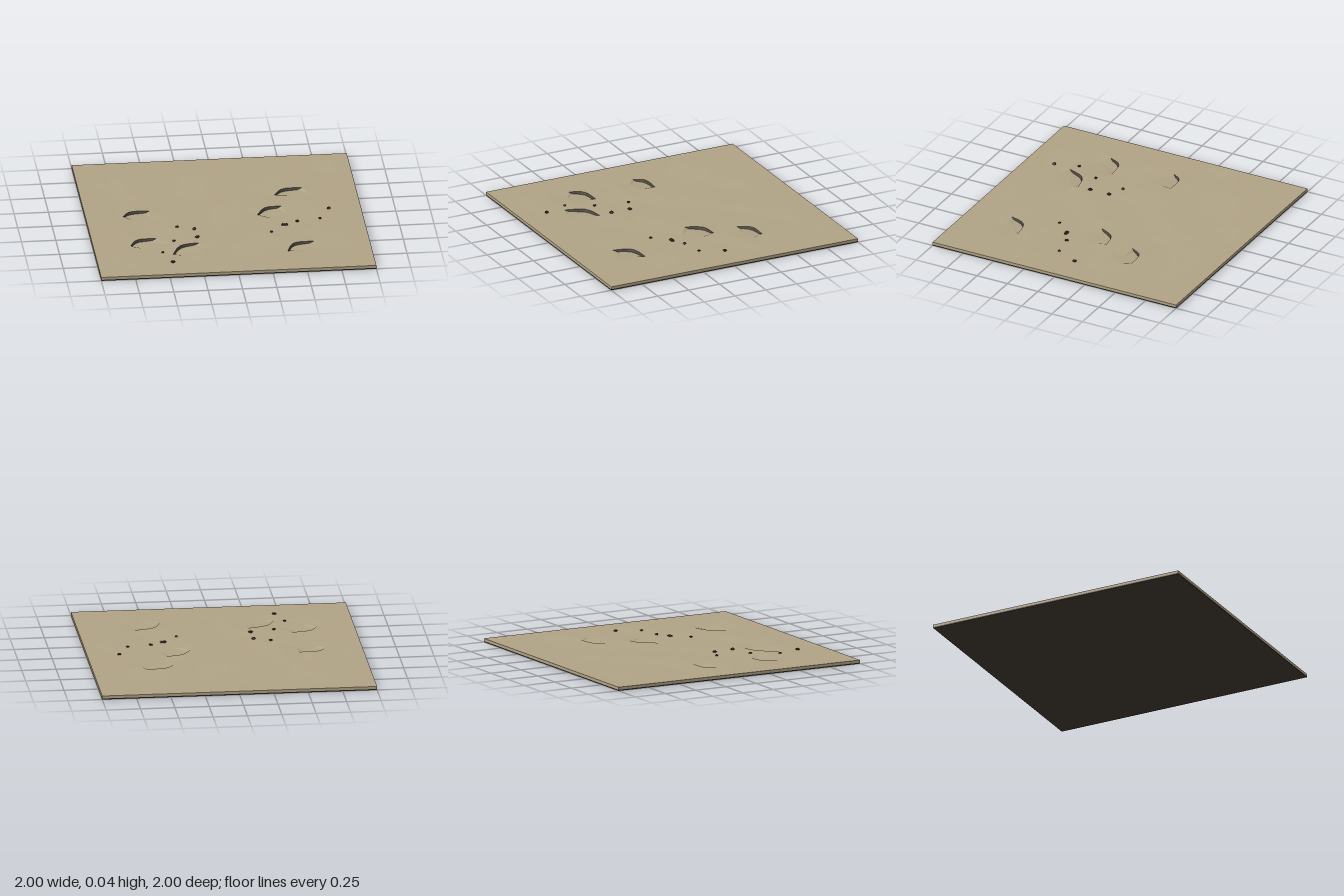
import * as THREE from 'three';

const sand = new THREE.MeshStandardMaterial({ color: 0xb0a386, flatShading: true });
sand.name = 'sand';
const scarp = new THREE.MeshStandardMaterial({ color: 0x4c463c, flatShading: true });
scarp.name = 'shadowed scarp';
const bedrock = new THREE.MeshStandardMaterial({ color: 0x40372e, flatShading: true });
bedrock.name = 'dark bedrock';
const stone = new THREE.MeshStandardMaterial({ color: 0x3d3026, flatShading: true });
stone.name = 'dark stone';

const LEVEL = 0.027, BASE = 0.008, DEPTH = 0.016, RISE = 0.004;

// Curved scarps: start, crown and end as x, z
const ARCS = [
  [-0.73, -0.05, -0.67, -0.125, -0.53, -0.13],
  [-0.73, 0.47, -0.67, 0.37, -0.53, 0.35],
  [-0.44, 0.65, -0.37, 0.51, -0.23, 0.47],
  [0.24, 0.02, 0.31, -0.095, 0.43, -0.12],
  [0.40, -0.32, 0.47, -0.41, 0.61, -0.42],
  [0.39, 0.68, 0.45, 0.55, 0.60, 0.52],
].map(([ax, az, mx, mz, bx, bz]) => {
  const a = new THREE.Vector2(ax, az), b = new THREE.Vector2(bx, bz);
  const mid = a.clone().add(b).multiplyScalar(0.5);
  const along = b.clone().sub(a).normalize();
  const front = new THREE.Vector2(-along.y, along.x);
  const bow = -new THREE.Vector2(mx, mz).sub(mid).dot(front);
  const curve = new THREE.SplineCurve([a, new THREE.Vector2(mx, mz), b]);
  return { mid, along, front, bow, half: a.distanceTo(b) / 2, points: curve.getSpacedPoints(8) };
});

// Stones: x, z, radius
const STONES = [
  [-0.36, 0.17, 0.012], [-0.24, 0.22, 0.015], [-0.235, 0.37, 0.016], [-0.41, 0.42, 0.012],
  [-0.51, 0.61, 0.011], [-0.455, 0.785, 0.015], [0.31, 0.33, 0.011], [0.41, 0.215, 0.015],
  [0.43, 0.215, 0.013], [0.515, 0.16, 0.013], [0.685, 0.13, 0.011], [0.765, -0.04, 0.014],
];

function seeded(seed) {
  return () => (seed = (seed * 16807) % 2147483647) / 2147483647;
}

// Gentle ridges that flatten towards the rim
function rolling(x, z) {
  const fade = Math.min(1, 2.5 * (1 - Math.max(Math.abs(x), Math.abs(z))));
  const ridge = Math.sin(5 * x + 9 * z + 2 * Math.sin(3 * x)) + 0.6 * Math.sin(11 * x - 4 * z);
  return 0.0016 * fade * ridge;
}

// Ground height with a ramped hollow in front of each scarp
function ground(x, z) {
  let y = LEVEL + rolling(x, z);
  for (const s of ARCS) {
    const p = new THREE.Vector2(x, z).sub(s.mid);
    const taper = 1 - (p.dot(s.along) / s.half) ** 2;
    if (taper <= 0) continue;
    const d = p.dot(s.front) + s.bow * taper;
    if (d > 0) y -= DEPTH * taper * Math.max(0, 1 - d / 0.2);
    else y += RISE * taper * Math.max(0, 1 + d / 0.15);
  }
  return Math.max(y, 0.0095);
}

// Scattered terrain points; scarps get an upper and a lower row
function terrainPoints() {
  const rand = seeded(71), pts = [], n = 18;
  const add = (x, z, y, arc = -1, row = 0) => pts.push({ x, z, y, arc, row });
  for (const x of [-1, 1]) for (const z of [-1, 1]) add(x, z, LEVEL);
  for (let i = 1; i < n; i++) {
    const t = -1 + 2 * i / n;
    for (const e of [-1, 1]) { add(t, e, LEVEL); add(e, t, LEVEL); }
  }
  ARCS.forEach((s, k) => s.points.forEach((p, i) => {
    const taper = 1 - (i / 4 - 1) ** 2;
    const top = LEVEL + rolling(p.x, p.y) + RISE * taper;
    add(p.x, p.y, top, k, 1);
    if (taper > 0) {
      const q = p.clone().addScaledVector(s.front, 0.007);
      add(q.x, q.y, Math.max(0.0095, top - (DEPTH + RISE) * Math.sqrt(taper)), k, 2);
    }
  }));
  for (let i = 1; i < n; i++) for (let j = 1; j < n; j++) {
    const x = -1 + 2 * (i + 0.7 * (rand() - 0.5)) / n;
    const z = -1 + 2 * (j + 0.7 * (rand() - 0.5)) / n;
    const near = ARCS.some(s => s.points.some(p => Math.hypot(p.x - x, p.y - z) < 0.045));
    if (!near) add(x, z, ground(x, z));
  }
  return pts;
}

// Incremental Delaunay triangulation in plan
function triangulate(pts) {
  const all = [...pts, { x: -60, z: -50 }, { x: 60, z: -50 }, { x: 0, z: 70 }], n = pts.length;
  const make = (a, b, c) => {
    const A = all[a], B = all[b], C = all[c];
    const bx = B.x - A.x, bz = B.z - A.z, cx = C.x - A.x, cz = C.z - A.z;
    const d = 2 * (bx * cz - bz * cx), b2 = bx * bx + bz * bz, c2 = cx * cx + cz * cz;
    const ux = (cz * b2 - bz * c2) / d, uz = (bx * c2 - cx * b2) / d;
    return { v: [a, b, c], x: A.x + ux, z: A.z + uz, r: ux * ux + uz * uz, d };
  };
  let tris = [make(n, n + 1, n + 2)];
  for (let i = 0; i < n; i++) {
    const p = all[i], edges = new Map(), keep = [];
    for (const t of tris) {
      if ((p.x - t.x) ** 2 + (p.z - t.z) ** 2 >= t.r) { keep.push(t); continue; }
      for (let e = 0; e < 3; e++) {
        const a = t.v[e], b = t.v[(e + 1) % 3];
        if (!edges.delete(b + '_' + a)) edges.set(a + '_' + b, [a, b]);
      }
    }
    for (const [a, b] of edges.values()) keep.push(make(a, b, i));
    tris = keep;
  }
  return tris.filter(t => t.v.every(v => v < n) && Math.abs(t.d) > 1e-9);
}

function terrain() {
  const pts = terrainPoints(), sandIndex = [], scarpIndex = [];
  for (const { v, d } of triangulate(pts)) {
    const [a, b, c] = v.map(i => pts[i]);
    const steep = a.arc >= 0 && a.arc === b.arc && a.arc === c.arc
      && [a, b, c].some(p => p.row === 1) && [a, b, c].some(p => p.row === 2);
    (steep ? scarpIndex : sandIndex).push(...(d > 0 ? [v[0], v[2], v[1]] : v));
  }
  const geo = new THREE.BufferGeometry();
  geo.setAttribute('position', new THREE.Float32BufferAttribute(pts.flatMap(p => [p.x, p.y, p.z]), 3));
  geo.setIndex([...sandIndex, ...scarpIndex]);
  geo.addGroup(0, sandIndex.length, 0);
  geo.addGroup(sandIndex.length, scarpIndex.length, 1);
  geo.computeVertexNormals();
  return new THREE.Mesh(geo, [sand, scarp]);
}

export function createModel() {
  const model = new THREE.Group();
  model.name = 'desertTile';
  const add = (mesh, name, parent = model) => {
    mesh.name = name;
    parent.add(mesh);
    return mesh;
  };

  add(terrain(), 'duneSurface');

  // Sand rim around the tile
  const rim = new THREE.CylinderGeometry(Math.SQRT2, Math.SQRT2, LEVEL - BASE, 4, 1, true);
  rim.rotateY(Math.PI / 4);
  add(new THREE.Mesh(rim, sand), 'sandRim').position.y = (LEVEL + BASE) / 2;

  // Dark underside plate
  add(new THREE.Mesh(new THREE.BoxGeometry(2, BASE, 2), bedrock), 'basePlate').position.y = BASE / 2;

  // Scattered stones
  const stones = new THREE.Group();
  add(stones, 'stones');
  const rock = new THREE.DodecahedronGeometry(1, 0);
  STONES.forEach(([x, z, r], i) => {
    const m = add(new THREE.Mesh(rock, stone), 'stone', stones);
    m.position.set(x, ground(x, z) + r * 0.2, z);
    m.rotation.y = i * 1.3;
    m.scale.set(r * 1.1, r * 0.75, r);
  });
  return model;
}
